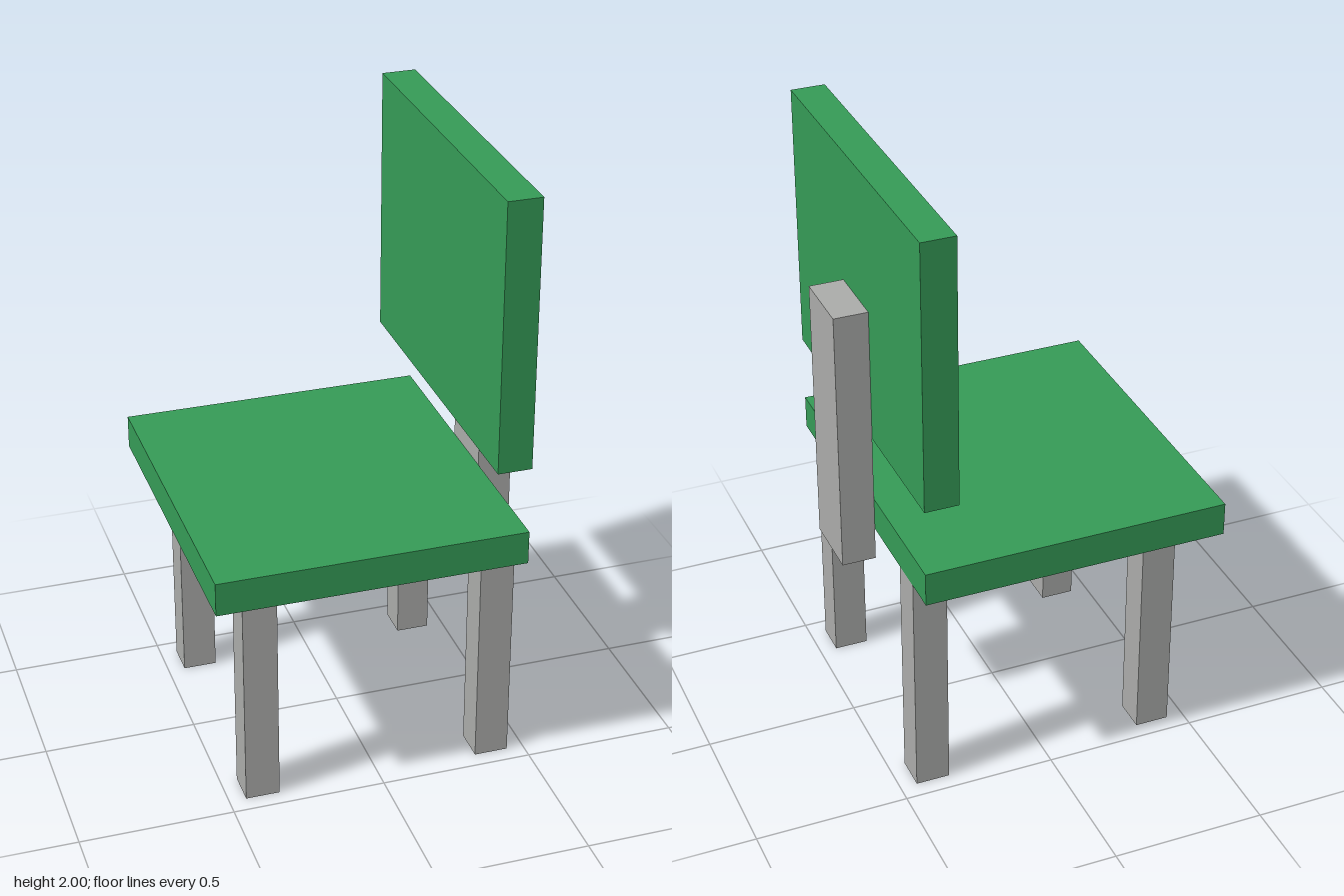
import * as THREE from 'three';

const U = 1 / 9; // the chair is laid out on a grid of ninths

export function createModel() {
  const chair = new THREE.Group();
  chair.name = 'chair';

  const green = new THREE.MeshStandardMaterial({ color: 0x359a56 });
  green.name = 'green panel';
  const grey = new THREE.MeshStandardMaterial({ color: 0xaaaba9 });
  grey.name = 'grey frame';

  // Box given by its ranges in grid steps
  function addBox(name, material, [x0, x1], [y0, y1], [z0, z1]) {
    const geometry = new THREE.BoxGeometry((x1 - x0) * U, (y1 - y0) * U, (z1 - z0) * U);
    const mesh = new THREE.Mesh(geometry, material);
    mesh.name = name;
    mesh.position.set((x0 + x1) / 2 * U, (y0 + y1) / 2 * U, (z0 + z1) / 2 * U);
    chair.add(mesh);
  }

  // Seat, backrest and the post joining them
  addBox('seat', green, [-5, 4], [7, 8], [-5, 5]);
  addBox('backrest', green, [3, 4], [10, 18], [-5, 5]);
  addBox('backrestPost', grey, [4, 5], [6, 14], [-1, 1]);

  // Four legs
  for (const x of [-3.5, 3.5]) {
    for (const z of [-3.5, 3.5]) {
      const name = (x < 0 ? 'seatFront' : 'seatRear') + (z < 0 ? 'LegA' : 'LegB');
      addBox(name, grey, [x - 0.5, x + 0.5], [0, 7], [z - 0.5, z + 0.5]);
    }
  }

  return chair;
}
